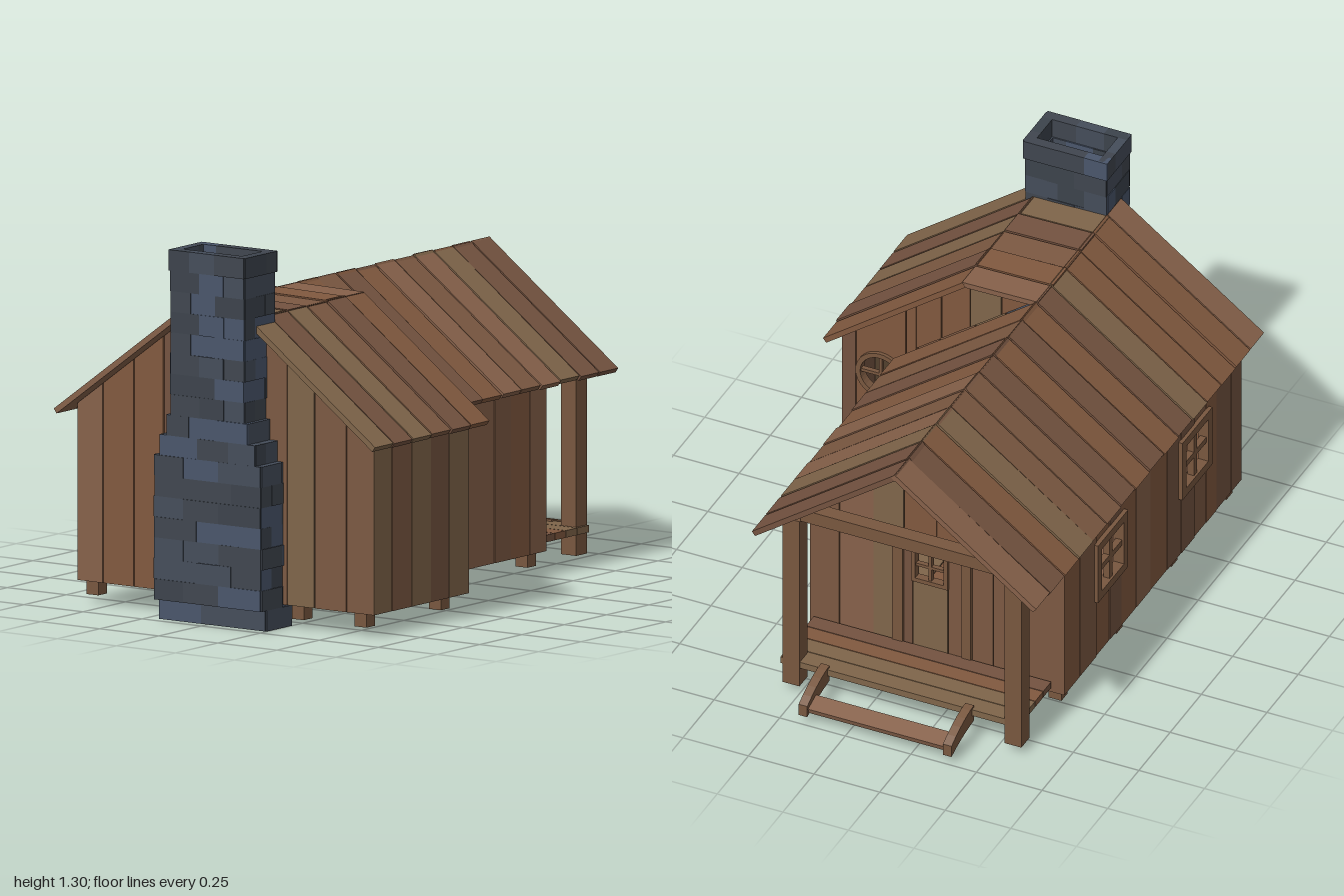
import * as THREE from 'three';

const WOOD = [0x86614a, 0x7c5942, 0x7f654a, 0x745340, 0x81593f].map(mat);
const TRIM = mat(0x78573f);
const STONE = [0x454d5a, 0x3c434c, 0x4a566b, 0x40464f].map(mat);

function mat(color) {
  return new THREE.MeshStandardMaterial({ color, flatShading: true, side: THREE.DoubleSide });
}

let seed = 7;
function rnd() {
  seed = (seed * 16807) % 2147483647;
  return seed / 2147483647;
}
const pick = (list) => list[Math.floor(rnd() * list.length)];

function group(name, parent) {
  const g = new THREE.Group();
  g.name = name;
  parent.add(g);
  return g;
}

// Box given by its extents
function box(parent, name, x0, x1, y0, y1, z0, z1, material = TRIM) {
  const m = new THREE.Mesh(new THREE.BoxGeometry(x1 - x0, y1 - y0, z1 - z0), material);
  m.position.set((x0 + x1) / 2, (y0 + y1) / 2, (z0 + z1) / 2);
  m.name = name;
  parent.add(m);
  return m;
}

// Upright planks between the breaks; rectangular openings split planks, a round one pierces its plank
function plankWall(parent, name, breaks, bottom, top, { opening, round } = {}) {
  const g = group(name, parent);
  for (let i = 0; i < breaks.length - 1; i++) {
    const a = breaks[i] + 0.0015, b = breaks[i + 1] - 0.0015, mid = (a + b) / 2;
    const spans = [[bottom, top]];
    for (const o of opening || []) {
      if (mid < o[0] || mid > o[1]) continue;
      const last = spans.pop();
      if (o[2] > last[0](mid) + 0.005) spans.push([last[0], () => o[2]]);
      spans.push([() => o[3], last[1]]);
    }
    const material = pick(WOOD), lift = rnd() * 0.004;
    for (const [lo, hi] of spans) {
      const s = new THREE.Shape([[a, lo(a)], [b, lo(b)], [b, hi(b)], [a, hi(a)]].map((p) => new THREE.Vector2(...p)));
      if (round && mid > round[0] - round[2] && mid < round[0] + round[2]) {
        s.holes.push(new THREE.Path().absarc(round[0], round[1], round[2], 0, Math.PI * 2, true));
      }
      const m = new THREE.Mesh(new THREE.ExtrudeGeometry(s, { depth: 0.02, bevelEnabled: false }), material);
      m.position.z = lift - 0.002;
      m.name = 'wallPlank';
      g.add(m);
    }
  }
  return g;
}

// Uneven division of a range that keeps the given fixed points
function splits(points, step) {
  const out = [points[0]];
  for (let i = 1; i < points.length; i++) {
    const a = points[i - 1], b = points[i], n = Math.max(1, Math.round((b - a) / step));
    for (let k = 1; k < n; k++) out.push(a + ((b - a) * (k + (rnd() - 0.5) * 0.25)) / n);
    out.push(b);
  }
  return out;
}

// Roof boards laid from (z0, y0) to (z1, y1), z0 < z1, side by side along x
function roofSlope(parent, name, x0, x1, n, z0, y0, z1, y1) {
  const g = group(name, parent);
  const dz = z1 - z0, dy = y1 - y0, len = Math.hypot(dz, dy), w = (x1 - x0) / n;
  for (let i = 0; i < n; i++) {
    const m = new THREE.Mesh(new THREE.BoxGeometry(w - 0.004 - rnd() * 0.004, 0.02, len + rnd() * 0.01), pick(WOOD));
    const t = Math.atan2(-dy, dz), drop = 0.01 + (rnd() - 0.5) * 0.005;
    m.rotation.set(t, (rnd() - 0.5) * 0.008, 0);
    m.position.set(x0 + w * (i + 0.5), (y0 + y1) / 2 - drop * Math.cos(t), (z0 + z1) / 2 - drop * Math.sin(t));
    m.name = 'roofBoard';
    g.add(m);
  }
}

// Square window frame with a cross, centred on its own origin
function squareWindow(parent, name, size, border, depth) {
  const g = group(name, parent), h = size / 2, c = border * 0.35, d = depth / 2;
  for (const s of [-1, 1]) {
    const p = s * (h - border / 2), b = border / 2;
    box(g, 'frameSide', p - b, p + b, -h, h, -d, d);
    box(g, 'frameRail', -h + border, h - border, p - b, p + b, -d, d);
  }
  box(g, 'crossBar', -h, h, -c, c, -d * 0.6, d * 0.6);
  box(g, 'crossPost', -c, c, -h, h, -d * 0.6, d * 0.6);
  return g;
}

// Hollow stone chimney, course by course
function chimney(parent) {
  const g = group('chimney', parent), n = 18, h = 1.3 / n, t = 0.035, zc = 0.02;
  for (let i = 0; i < n; i++) {
    const y0 = 0.01 + i * h, y1 = y0 + h, cap = i === n - 1 ? 0.005 : 0;
    const half = 0.155 + 0.07 * THREE.MathUtils.clamp((0.7 - y0) / 0.17, 0, 1) + cap;
    const xa = i === 0 ? -0.96 : -0.99 - cap, xb = -0.81 + cap;
    const shift = i % 2 ? 0.12 : -0.12;
    const row = [-half, -half * (0.33 + shift), half * (0.33 - shift), half];
    for (let k = 0; k < 3; k++) {
      const j = rnd() * 0.005;
      box(g, 'outerStone', xa - j, xa + t, y0, y1, zc + row[k], zc + row[k + 1], pick(STONE));
      box(g, 'innerStone', xb - t, xb + j, y0, y1, zc + row[k], zc + row[k + 1], pick(STONE));
    }
    const xm = -0.9 + shift * 0.25;
    for (const s of [-1, 1]) {
      for (const [a, b] of [[xa + 0.002, xm], [xm, xb - 0.002]]) {
        const o = zc + s * (half + rnd() * 0.006), q = zc + s * (half - t);
        box(g, 'sideStone', a, b, y0, y1, Math.min(o, q), Math.max(o, q), pick(STONE));
      }
    }
  }
}

export function createModel() {
  seed = 7;
  const model = new THREE.Group();
  model.name = 'cabin';
  const base = () => 0.09, eave = () => 0.7;
  const mainTop = (z) => 1.065 - 0.74 * Math.abs(z + 0.14);
  const wideTop = (z) => 1.065 - 0.74 * Math.max(0, Math.abs(z) - 0.14);

  // Long walls along x
  const windows = [-0.475, 0.2];
  const back = plankWall(model, 'backWall', splits([-0.86, -0.575, -0.375, 0.1, 0.3, 0.56], 0.11), base, eave,
    { opening: windows.map((x) => [x - 0.1, x + 0.1, 0.35, 0.55]) });
  back.position.z = -0.625;
  plankWall(model, 'frontWall', splits([-0.295, 0.56], 0.11), base, eave).position.z = 0.325;
  plankWall(model, 'wingFrontWall', splits([-0.86, -0.295], 0.11), base, eave).position.z = 0.61;
  for (const x of windows) squareWindow(model, 'backWindow', 0.24, 0.032, 0.04).position.set(x, 0.45, -0.62);

  // Gable walls across z
  const across = (wall, x) => {
    wall.rotation.y = -Math.PI / 2;
    wall.position.x = x;
  };
  across(plankWall(model, 'porchWall', splits([-0.625, -0.24, -0.14, -0.015, 0.345], 0.12), base, mainTop,
    { opening: [[-0.24, -0.015, 0.09, 0.57]] }), 0.56);
  across(plankWall(model, 'chimneyWallBack', splits([-0.625, -0.14, -0.12], 0.11), base, wideTop), -0.84);
  across(plankWall(model, 'chimneyWallFront', splits([0.16, 0.63], 0.11), base, wideTop), -0.84);
  const wingBottom = (z) => (z > 0.3452 ? 0.09 : 1.07 - 0.74 * (z + 0.14));
  across(plankWall(model, 'wingSideWall', [-0.1, 0.02, 0.14, 0.25, 0.345, 0.385, 0.575, 0.63], wingBottom, wideTop,
    { round: [0.48, 0.56, 0.078] }), -0.295);

  // Round window
  const round = group('roundWindow', model);
  round.position.set(-0.295, 0.56, 0.48);
  round.rotation.y = Math.PI / 2;
  const disc = new THREE.Shape().absarc(0, 0, 0.092, 0, Math.PI * 2);
  disc.holes.push(new THREE.Path().absarc(0, 0, 0.074, 0, Math.PI * 2, true));
  const ring = new THREE.Mesh(new THREE.ExtrudeGeometry(disc, { depth: 0.035, bevelEnabled: false, curveSegments: 16 }), TRIM);
  ring.position.z = -0.022;
  ring.name = 'windowRing';
  round.add(ring);
  box(round, 'crossBar', -0.076, 0.076, -0.006, 0.006, -0.012, 0.006);
  box(round, 'crossPost', -0.006, 0.006, -0.076, 0.076, -0.012, 0.006);

  // Door with frame and small window
  across(plankWall(model, 'door', [-0.24, -0.185, -0.05, -0.015], () => 0.1, () => 0.57,
    { opening: [[-0.185, -0.05, 0.41, 0.545]] }), 0.565);
  const doorWindow = squareWindow(model, 'doorWindow', 0.14, 0.016, 0.03);
  doorWindow.position.set(0.56, 0.478, -0.118);
  doorWindow.rotation.y = Math.PI / 2;
  box(model, 'doorFrameLeft', 0.535, 0.575, 0.09, 0.57, -0.275, -0.24);
  box(model, 'doorFrameRight', 0.535, 0.575, 0.09, 0.57, -0.015, 0.025);
  box(model, 'doorFrameTop', 0.535, 0.575, 0.57, 0.6, -0.275, 0.025);

  // Roofs: two parallel ridges joined by a flat strip
  roofSlope(model, 'mainRoofBack', -0.92, 0.905, 16, -0.68, 0.69, -0.14, 1.09);
  roofSlope(model, 'mainRoofFront', -0.235, 0.905, 10, -0.14, 1.09, 0.4, 0.69);
  roofSlope(model, 'wingRoofFront', -0.92, -0.235, 6, 0.145, 1.085, 0.675, 0.69);
  roofSlope(model, 'flatRoof', -0.81, -0.235, 5, -0.145, 1.09, 0.145, 1.085);

  // Floors and footings
  const floor = group('floor', model);
  const zs = splits([-0.62, 0.34], 0.14);
  for (let i = 0; i < zs.length - 1; i++) box(floor, 'floorBoard', -0.855, 0.555, 0.09, 0.11, zs[i], zs[i + 1] - 0.003, pick(WOOD));
  for (const z of [0.34, 0.48]) box(floor, 'wingFloorBoard', -0.855, -0.3, 0.09, 0.11, z, z + 0.142, pick(WOOD));
  for (const x of [-0.815, -0.375, 0.065, 0.505]) {
    for (const z of x < -0.3 ? [-0.575, 0.295, 0.56] : [-0.575, 0.295]) {
      box(model, 'footing', x - 0.025, x + 0.025, 0.04, 0.092, z - 0.025, z + 0.025);
    }
  }

  // Porch deck, posts and beam
  const deck = [0.57, 0.635, 0.7, 0.77, 0.84];
  for (let i = 0; i < 4; i++) box(model, 'deckBoard', deck[i], deck[i + 1] - 0.003, 0.115, 0.14, -0.58, 0.325, pick(WOOD));
  for (const z of [-0.563, 0.283]) box(model, 'porchPost', 0.775, 0.84, 0.04, 0.735, z - 0.032, z + 0.032);
  box(model, 'porchBeam', 0.78, 0.835, 0.735, 0.785, -0.53, 0.25);

  // Porch step
  const side = new THREE.Shape();
  side.moveTo(0.82, 0.148);
  side.lineTo(0.85, 0.145);
  side.quadraticCurveTo(0.93, 0.13, 1.0, 0.09);
  side.lineTo(1.0, 0.045);
  side.quadraticCurveTo(0.93, 0.075, 0.82, 0.085);
  for (const z of [-0.405, 0.145]) {
    const m = new THREE.Mesh(new THREE.ExtrudeGeometry(side, { depth: 0.033, bevelEnabled: false, curveSegments: 4 }), TRIM);
    m.position.z = z;
    m.name = 'stepSide';
    model.add(m);
  }
  box(model, 'stepTread', 0.925, 0.992, 0.065, 0.085, -0.38, 0.15, WOOD[0]).rotation.z = -0.3;

  chimney(model);
  return model;
}
